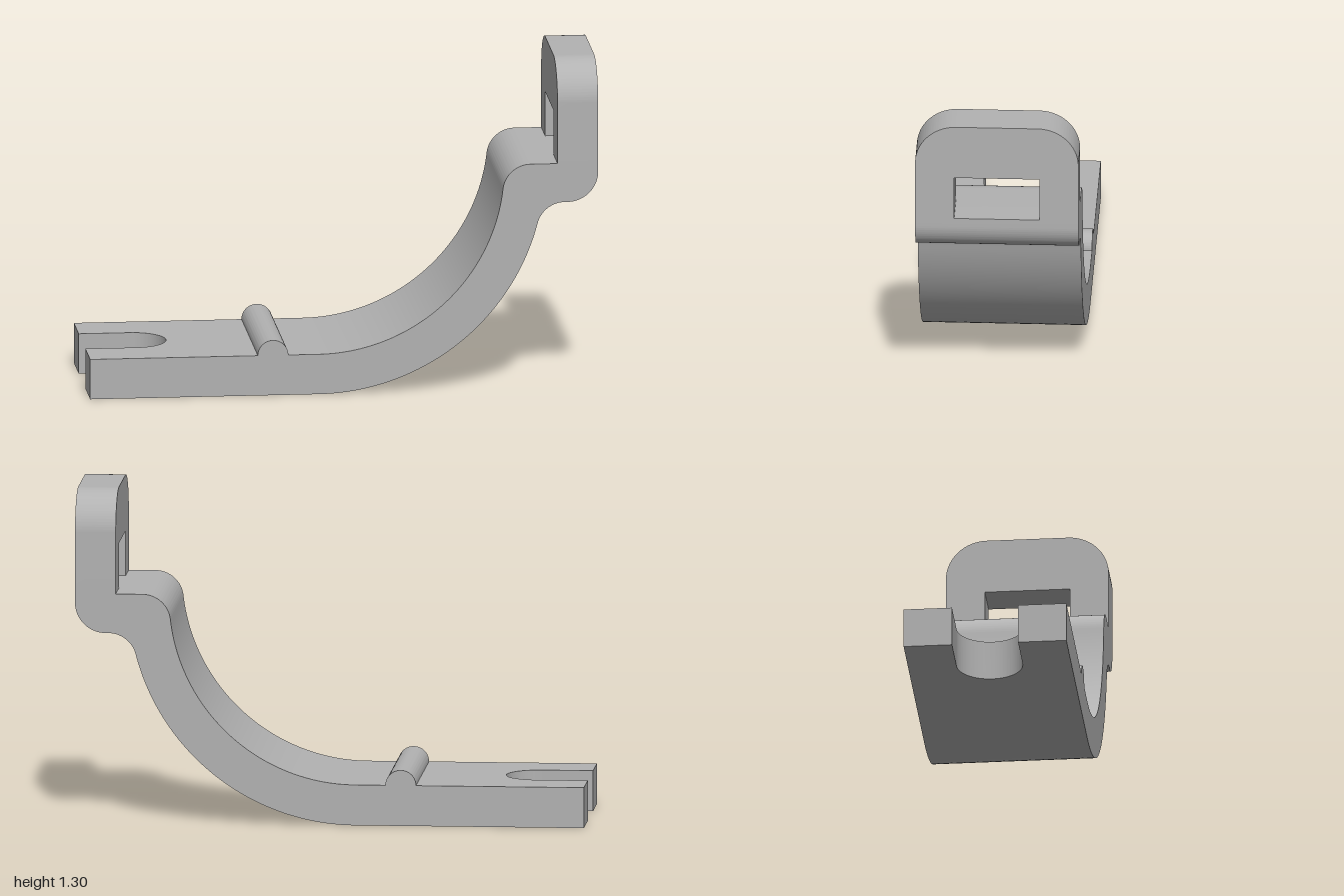
import * as THREE from 'three';
import { toCreasedNormals } from 'three/addons/utils/BufferGeometryUtils.js';

const HALF = 0.32; // half width of the strip
const TOP = 0.905; // height of the upper ledge

export function createModel() {
  const model = new THREE.Group();
  model.name = 'bracket';
  const metal = new THREE.MeshStandardMaterial({ color: 0xb2b2b2 });
  metal.name = 'grey metal';

  const extrude = (shape, depth) => toCreasedNormals(
    new THREE.ExtrudeGeometry(shape, { depth, bevelEnabled: false, curveSegments: 32 }), 0.5);
  const add = (name, geometry) => {
    const mesh = new THREE.Mesh(geometry, metal);
    mesh.name = name;
    model.add(mesh);
  };

  // Curved arm with the ledge and the cross bead, as one side profile
  const cx = -0.1, cy = 0.89, inner = 0.73, outer = 0.89, r = 0.11;
  const outY = 0.75 - r, outX = cx + Math.sqrt((outer + r) ** 2 - (outY - cy) ** 2);
  const inY = TOP - r, inX = cx + Math.sqrt((inner + r) ** 2 - (inY - cy) ** 2);
  const outAngle = Math.atan2(outY - cy, outX - cx);
  const inAngle = Math.atan2(inY - cy, inX - cx);
  const arm = new THREE.Shape();
  arm.moveTo(-0.6, 0);
  arm.lineTo(cx, 0);
  arm.absarc(cx, cy, outer, -Math.PI / 2, outAngle, false);
  arm.absarc(outX, outY, r, outAngle + Math.PI, Math.PI / 2, true);
  arm.absarc(0.88, 0.87, 0.12, -Math.PI / 2, 0, false);
  arm.lineTo(1, TOP);
  arm.lineTo(inX, TOP);
  arm.absarc(inX, inY, r, Math.PI / 2, inAngle + Math.PI, false);
  arm.absarc(cx, cy, inner, inAngle, -Math.PI / 2, true);
  arm.absarc(-0.28, 0.16, 0.06, 0, Math.PI, false);
  arm.lineTo(-0.6, 0.16);
  arm.closePath();
  add('curvedArm', extrude(arm, HALF * 2).translate(0, 0, -HALF));

  // Forked foot with a round-ended slot
  const fork = new THREE.Shape();
  fork.moveTo(-0.6, -HALF);
  fork.lineTo(-0.6, HALF);
  fork.lineTo(-1, HALF);
  fork.lineTo(-1, 0.13);
  fork.lineTo(-0.8, 0.13);
  fork.absarc(-0.8, 0, 0.13, Math.PI / 2, -Math.PI / 2, true);
  fork.lineTo(-1, -0.13);
  fork.lineTo(-1, -HALF);
  fork.closePath();
  add('forkedFoot', extrude(fork, 0.16).rotateX(-Math.PI / 2));

  // Upright loop: its window is open down to the ledge
  const loop = new THREE.Shape();
  const corner = 0.16, peak = 1.305, win = 0.167, winTop = 1.083;
  loop.moveTo(win, TOP);
  loop.lineTo(HALF, TOP);
  loop.absarc(HALF - corner, peak - corner, corner, 0, Math.PI / 2, false);
  loop.absarc(corner - HALF, peak - corner, corner, Math.PI / 2, Math.PI, false);
  loop.lineTo(-HALF, TOP);
  loop.lineTo(-win, TOP);
  loop.lineTo(-win, winTop);
  loop.lineTo(win, winTop);
  loop.closePath();
  add('uprightLoop', extrude(loop, 0.16).rotateY(Math.PI / 2).translate(0.84, 0, 0));

  return model;
}
